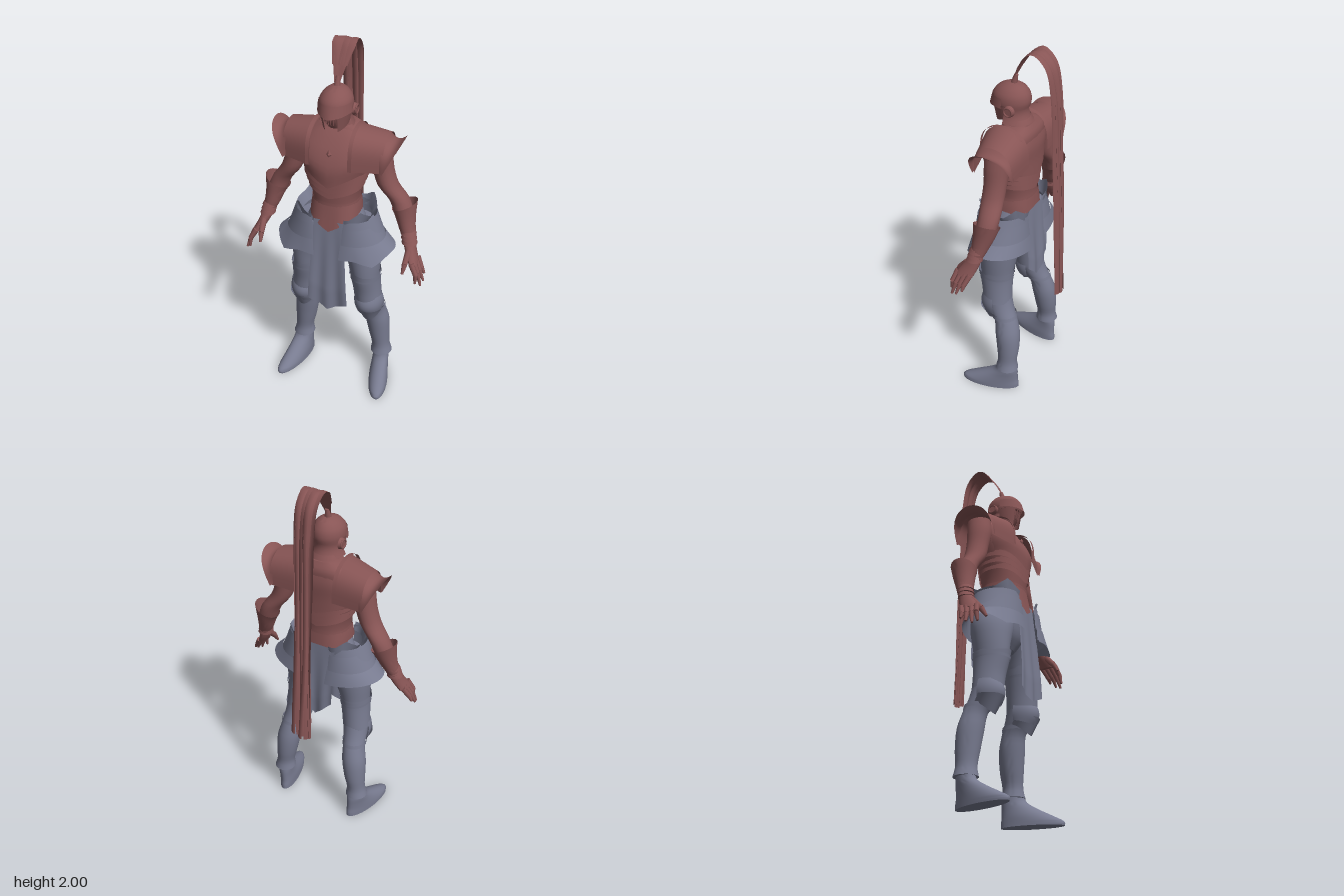
import * as THREE from 'three';
import { toCreasedNormals } from 'three/addons/utils/BufferGeometryUtils.js';
import { ParametricGeometry } from 'three/addons/geometries/ParametricGeometry.js';

const red = new THREE.MeshStandardMaterial({ color: 0x885555, side: THREE.DoubleSide });
const blue = new THREE.MeshStandardMaterial({ color: 0x787b90, side: THREE.DoubleSide });
const { sin, cos, abs, PI, max, min, pow, sign } = Math;
const lerp = THREE.MathUtils.lerp;

function add(parent, name, geo, mat) {
  const mesh = new THREE.Mesh(geo, mat);
  mesh.name = name;
  parent.add(mesh);
  return mesh;
}

// Skin over horizontal oval sections [y, cx, cz, rx, rz]; p < 1 squares the oval, warp shifts each point
function loft(parent, name, mat, secs, { cap = true, p = 1, n = 28, warp, sub = 3 } = {}) {
  if (secs[0][0] > secs[secs.length - 1][0]) secs = [...secs].reverse();
  const a = new THREE.CatmullRomCurve3(secs.map(s => new THREE.Vector3(s[1], s[0], s[2])));
  const b = new THREE.CatmullRomCurve3(secs.map(s => new THREE.Vector3(s[3], s[0], s[4])));
  const rows = (secs.length - 1) * sub, pos = [], idx = [];
  const v = new THREE.Vector3(), sp = k => sign(k) * pow(abs(k), p);
  for (let j = 0; j <= rows; j++) {
    const c = a.getPoint(j / rows), r = b.getPoint(j / rows);
    for (let i = 0; i < n; i++) {
      const t = i / n * 2 * PI;
      v.set(c.x + r.x * sp(cos(t)), c.y, c.z + r.z * sp(sin(t)));
      if (warp) warp(v, j / rows);
      pos.push(v.x, v.y, v.z);
      if (j < rows) {
        const q = j * n + i, w = j * n + (i + 1) % n;
        idx.push(q, q + n, w, w, q + n, w + n);
      }
    }
  }
  if (cap) for (const j of [0, rows]) {
    const c = a.getPoint(j / rows), k = pos.length / 3;
    v.copy(c);
    if (warp) warp(v, j / rows);
    pos.push(v.x, v.y, v.z);
    for (let i = 0; i < n; i++) {
      const q = j * n + i, w = j * n + (i + 1) % n;
      j ? idx.push(q, k, w) : idx.push(q, w, k);
    }
  }
  const g = new THREE.BufferGeometry();
  g.setAttribute('position', new THREE.Float32BufferAttribute(pos, 3));
  g.setIndex(idx);
  return add(parent, name, toCreasedNormals(g, 0.8), mat);
}

// Thin plate from a rule f(u, v) -> [x, y, z]
const sheet = (parent, name, mat, f, nu = 20, nv = 8) =>
  add(parent, name, new ParametricGeometry((u, v, t) => t.set(...f(u, v)), nu, nv), mat);

// Tapered rod between two points
function rod(parent, name, mat, a, b, r0, r1) {
  const p = new THREE.Vector3(...a), q = new THREE.Vector3(...b), d = q.clone().sub(p);
  const m = add(parent, name, new THREE.CylinderGeometry(r1, r0, d.length(), 8), mat);
  m.position.copy(p).add(q).multiplyScalar(0.5);
  m.quaternion.setFromUnitVectors(new THREE.Vector3(0, 1, 0), d.normalize());
}

function buildTorso(g) {
  loft(g, 'torso', red, [[1.12, 0, .055, .125, .115], [1.2, 0, .06, .12, .11], [1.27, 0, .06, .132, .115],
    [1.35, 0, .055, .16, .12], [1.43, 0, .055, .185, .12], [1.51, 0, .04, .195, .105], [1.57, 0, .02, .16, .085], [1.61, 0, .02, .09, .065]], { p: .85 });
  // Breastplate with a pointed lower hem and centre ridge
  loft(g, 'breastplate', red, [[1.36, 0, .058, .168, .128], [1.43, 0, .06, .185, .13], [1.5, 0, .045, .185, .118],
    [1.56, 0, .03, .15, .092], [1.6, 0, .02, .1, .068]], { cap: false, p: .8, n: 40, warp: (v, t) => {
    v.y += (1 - t) ** 2 * (.02 - .07 * max(0, 1 - abs(v.x) / .14)) * (v.z > .05 ? 1 : .7);
    if (v.z > .05) v.z += .012 * max(0, 1 - abs(v.x) / .1) * (1 - t);
  } });
  // Overlapping rib bands
  for (let i = 0; i < 3; i++) {
    const y = 1.27 + i * .03, r = .137 + i * .012;
    loft(g, 'ribBand', red, [[y, 0, .06, r + .006, .122 + i * .002], [y + .035, 0, .06, r + .006, .12 + i * .002]],
      { cap: false, p: .85, warp: v => { v.y += abs(v.x) * .3 - .03; }, sub: 1 });
  }
  loft(g, 'belt', red, [[1.195, 0, .06, .124, .116], [1.212, 0, .06, .124, .116]], { cap: false, p: .85, sub: 1 });
  loft(g, 'bellyPlate', red, [[1.1, 0, .065, .13, .13], [1.15, 0, .062, .127, .122], [1.2, 0, .06, .122, .114]],
    { cap: false, p: .8, n: 40, warp: (v, t) => { v.y -= (1 - t) * (.05 - abs(v.x) * .6); } });
  loft(g, 'gorget', red, [[1.565, 0, .02, .115, .08], [1.6, 0, .025, .085, .068], [1.635, 0, .035, .068, .06]], { cap: false });
  loft(g, 'neck', red, [[1.58, 0, .03, .055, .05], [1.68, 0, .045, .05, .05]]);
  const gem = add(g, 'chestGem', new THREE.OctahedronGeometry(.02), red);
  gem.scale.set(.7, 1.2, .6);
  gem.position.set(0, 1.49, .17);
}

function buildHead(g) {
  loft(g, 'helmetDome', red, [[1.69, 0, .07, .081, .093], [1.72, 0, .07, .084, .1], [1.755, 0, .068, .078, .093],
    [1.785, 0, .064, .057, .07], [1.803, 0, .06, .03, .04], [1.81, 0, .06, .005, .007]]);
  loft(g, 'face', red, [[1.605, 0, .07, .04, .045], [1.65, 0, .07, .062, .07], [1.7, 0, .07, .074, .082]]);
  // Pointed visor
  sheet(g, 'visor', red, (u, v) => {
    const a = (u - .5) * 2.9, k = max(0, 1 - abs(a) / 1.1);
    return [sin(a) * (.083 + .006 * v), 1.745 - .05 * v - .014 * k * v, .07 + cos(a) * (.097 + .008 * v) + .012 * k * v];
  });
  // Neck guard at the rear
  sheet(g, 'neckGuard', red, (u, v) => {
    const a = PI + (u - .5) * 3.4, r = .083 - .012 * sin(v * PI) + .006 * v;
    return [sin(a) * r, 1.715 - .1 * v, .065 + cos(a) * r * 1.08];
  });
  for (const s of [-1, 1]) {
    sheet(g, 'cheekGuard', red, (u, v) => {
      const a = .5 + u * 1.2, r = lerp(.084, .066, v);
      return [s * sin(a) * r, 1.71 - v * (.075 + .035 * (1 - u)), .068 + cos(a) * r * 1.2];
    });
    const ear = add(g, 'earDisc', new THREE.CylinderGeometry(.024, .03, .016, 20), red);
    ear.rotation.z = -s * PI / 2;
    ear.position.set(s * .087, 1.69, .04);
    const ring = add(g, 'earRing', new THREE.TorusGeometry(.022, .005, 6, 20), red);
    ring.rotation.y = PI / 2;
    ring.position.set(s * .095, 1.69, .04);
  }
  for (let i = -3; i <= 3; i++) {
    const x = i * .016, z = .07 + .092 * cos(i * .25);
    rod(g, 'faceBar', red, [x, 1.7, z], [x * .8, 1.635, z - .018], .004, .003);
  }
  rod(g, 'plumeHolder', red, [0, 1.79, .06], [0, 1.85, .045], .02, .01);
}

// Plume: a broad arched ribbon that divides into hanging strands
function buildPlume(g) {
  const path = new THREE.CatmullRomCurve3([[1.82, .06], [1.92, .01], [1.985, -.04], [1.995, -.08], [1.94, -.14], [1.8, -.17],
    [1.5, -.183], [1.2, -.195], [.9, -.205], [.62, -.215]].map(([y, z]) => new THREE.Vector3(0, y, z)));
  const width = t => t < .3 ? lerp(.014, .06, min(1, t / .2)) : lerp(.06, .042, (t - .3) / .7);
  sheet(g, 'plume', red, (u, v) => {
    const p = path.getPoint(v);
    return [(u * 2 - 1) * width(v), p.y, p.z + .01 * v * sin(u * 9)];
  }, 10, 50);
  for (let i = 0; i < 6; i++) sheet(g, 'plumeStrand', red, (u, v) => {
    const t = .08 + .92 * v, p = path.getPoint(t), loose = max(0, t - .45);
    const x = (i / 5 - .5) * 1.5 * width(t) + (u - .5) * .03 + loose * .03 * sin(i * 2.3 + t * 9);
    return [x, p.y - (v > .98 ? .01 * sin(i) : 0), p.z + .016 * (sin(i * 2.1 + u * 2) - .2) * min(1, t * 1.4)];
  }, 3, 40);
}

function buildPauldron(g) {
  // Shell arching front to back over the shoulder, then a flared outer lip
  sheet(g, 'pauldron', red, (u, v) => {
    const a = v * PI, x = lerp(.1, .26, u), zf = lerp(.18, .135, u), zb = -.075;
    return [x, 1.415 + lerp(.195, .165, u) * pow(sin(a), .55), (zf + zb) / 2 + (zf - zb) / 2 * cos(a)];
  }, 8, 32);
  sheet(g, 'pauldronLip', red, (u, v) => {
    const a = v * PI, k = pow(sin(a), .6), zf = .14, zb = -.075, f = 1 + .06 * u;
    return [.245 + u * (.015 + .08 * k), 1.42 + (.163 - .03 * sin(u * PI)) * k - .01 * u, (zf + zb) / 2 + (zf - zb) / 2 * cos(a) * f];
  }, 8, 32);
  // Overlapping inner edge plate
  sheet(g, 'pauldronEdge', red, (u, v) => {
    const a = v * PI;
    return [.1 + u * .02, 1.42 + .197 * pow(sin(a), .55), .053 + .134 * cos(a)];
  }, 2, 32);
}

function buildArm(g) {
  loft(g, 'arm', red, [[1.55, .2, .02, .055, .065], [1.47, .215, .03, .06, .067], [1.38, .235, .03, .054, .06],
    [1.3, .262, .03, .054, .058], [1.22, .32, .02, .052, .055], [1.13, .355, .03, .05, .052], [1.02, .392, .055, .034, .036]], { n: 20 });
  // Open cuff, higher on the outside
  loft(g, 'gauntletCuff', red, [[1.03, .388, .052, .036, .038], [1.07, .374, .042, .042, .046], [1.13, .36, .028, .05, .057],
    [1.195, .348, .018, .064, .068]], { cap: false, warp: (v, t) => { v.y += t * t * (v.x - .35) * .5; } });
  for (let i = 0; i < 3; i++)
    loft(g, 'wristBand', red, [[1.0 + i * .024, .396 - i * .005, .064 - i * .005, .041, .043],
      [1.02 + i * .024, .391 - i * .005, .06 - i * .005, .036, .038]], { n: 16, sub: 1 });
  loft(g, 'palm', red, [[1.02, .39, .058, .032, .034], [.97, .408, .078, .029, .044], [.915, .435, .105, .024, .05]], { n: 14 });
  const tips = [[.463, .825, .168], [.488, .808, .152], [.495, .82, .122], [.49, .845, .09]];
  tips.forEach((tip, i) => {
    const a = [.432 + i * .004, .925, .145 - i * .026], m = [.462 + i * .004, .872, .16 - i * .024];
    rod(g, 'finger', red, a, m, .015, .013);
    rod(g, 'fingertip', red, m, tip, .013, .006);
  });
  rod(g, 'thumb', red, [.405, .975, .1], [.4, .92, .152], .019, .015);
  rod(g, 'thumbTip', red, [.4, .92, .152], [.396, .875, .178], .015, .007);
}

function buildTasset(g) {
  // Hip guard wrapping from front to back, in overlapping tiers: [top, drop, top reach, flare]
  [[1.13, .13, .115, .035], [1.09, .16, .125, .055], [1.0, .085, .165, .055]].forEach(([y, h, r, flare], k) =>
    sheet(g, 'tasset', blue, (u, v) => {
      const a = lerp(1.72, -1.75, u), w = r + flare * v;
      const point = k === 2 ? .04 * v * max(0, 1 - abs(a - .85) / .5) : 0;
      return [.1 + cos(a) * w, y - h * v - point + .03 * v * cos(a), .07 + sin(a) * (.125 + .012 * k + .012 * v) + point * .4];
    }, 32, 6));
  // Upturned fold at the waist
  sheet(g, 'waistFold', blue, (u, v) => {
    const a = lerp(1.6, -1.7, u), peak = max(0, 1 - abs(abs(a) - .9) / .5);
    return [.09 + cos(a) * (.09 + .03 * v), 1.095 + v * (.05 + .045 * peak), .065 + sin(a) * (.125 + .012 * v)];
  }, 28, 5);
}

function buildLeg(g) {
  loft(g, 'leg', blue, [[1.06, .1, .05, .1, .1], [.95, .13, .06, .112, .112], [.85, .155, .07, .09, .1], [.75, .165, .076, .074, .088],
    [.65, .175, .068, .068, .078], [.55, .187, .045, .065, .073], [.47, .2, .005, .06, .064], [.39, .212, -.012, .066, .068],
    [.28, .224, -.02, .058, .062], [.2, .234, -.02, .05, .054], [.15, .238, -.02, .06, .063]]);
  // Thigh plate with a peaked upper rim
  loft(g, 'thighPlate', blue, [[.59, .182, .066, .074, .082], [.66, .175, .07, .075, .084], [.74, .167, .077, .079, .094], [.79, .163, .078, .084, .102]],
    { cap: false, warp: (v, t) => { v.y += t * t * .03 * (v.x - .163) / -.08 * (v.z > .08 ? .6 : .2); } });
  loft(g, 'thighRim', blue, [[.745, .167, .077, .083, .098], [.76, .166, .077, .085, .1]], { cap: false, sub: 1 });
  // Two-tier knee guard, lower one tapering to a point
  sheet(g, 'kneeGuard', blue, (u, v) => {
    const a = (u - .5) * 3.3, s = sin(v * PI);
    return [.185 + sin(a) * (.073 + .008 * s), .625 - .1 * v - .02 * v * cos(a), lerp(.062, .055, v) + cos(a) * (.078 + .02 * s)];
  });
  sheet(g, 'kneePoint', blue, (u, v) => {
    const a = (u - .5) * 3.1;
    return [.192 + sin(a) * lerp(.08, .062, v), .545 - v * (.035 + .055 * pow(max(0, cos(a)), 1.5)), lerp(.06, .03, v) + cos(a) * lerp(.096, .078, v)];
  });
  loft(g, 'kneeBand', blue, [[.49, .197, .015, .066, .07], [.51, .195, .022, .067, .072]], { cap: false, sub: 1 });
  // Pointed shoe, toes turned out
  loft(g, 'shoe', blue, [[0, .234, .078, .055, .16], [.018, .234, .078, .055, .16], [.05, .234, .053, .053, .13],
    [.09, .236, .015, .048, .092], [.13, .238, -.015, .046, .062], [.17, .237, -.02, .046, .05]],
  { warp: v => { v.x += (v.z + .02) * .22; } });
}

// Pointed hanging cloth
const cloth = (g, name, top, edge, tip, z0, z1, w0, w1) => sheet(g, name, blue, (u, v) => {
  const s = u * 2 - 1, bottom = lerp(tip, edge, abs(s));
  return [s * lerp(w0, w1, v), lerp(top, bottom, v), lerp(z0, z1, min(1, v * 1.3)) + .006 * cos(s * 7) * v];
}, 16, 12);

export function createModel() {
  const model = new THREE.Group();
  model.name = 'armouredKnight';
  buildTorso(model);
  buildHead(model);
  buildPlume(model);
  loft(model, 'pelvis', blue, [[.86, 0, .05, .06, .06], [.93, 0, .05, .13, .1], [1.03, 0, .055, .165, .11], [1.13, 0, .055, .13, .112]]);
  cloth(model, 'frontCloth', 1.11, .61, .56, .185, .213, .08, .112);
  cloth(model, 'backCloth', 1.13, .78, .68, -.062, -.083, .11, .1);
  // Paired parts, mirrored to the right
  for (const s of [1, -1]) {
    const side = new THREE.Group();
    side.name = s > 0 ? 'leftSide' : 'rightSide';
    [buildPauldron, buildArm, buildTasset, buildLeg].forEach(f => f(side));
    side.scale.x = s;
    model.add(side);
  }
  return model;
}
